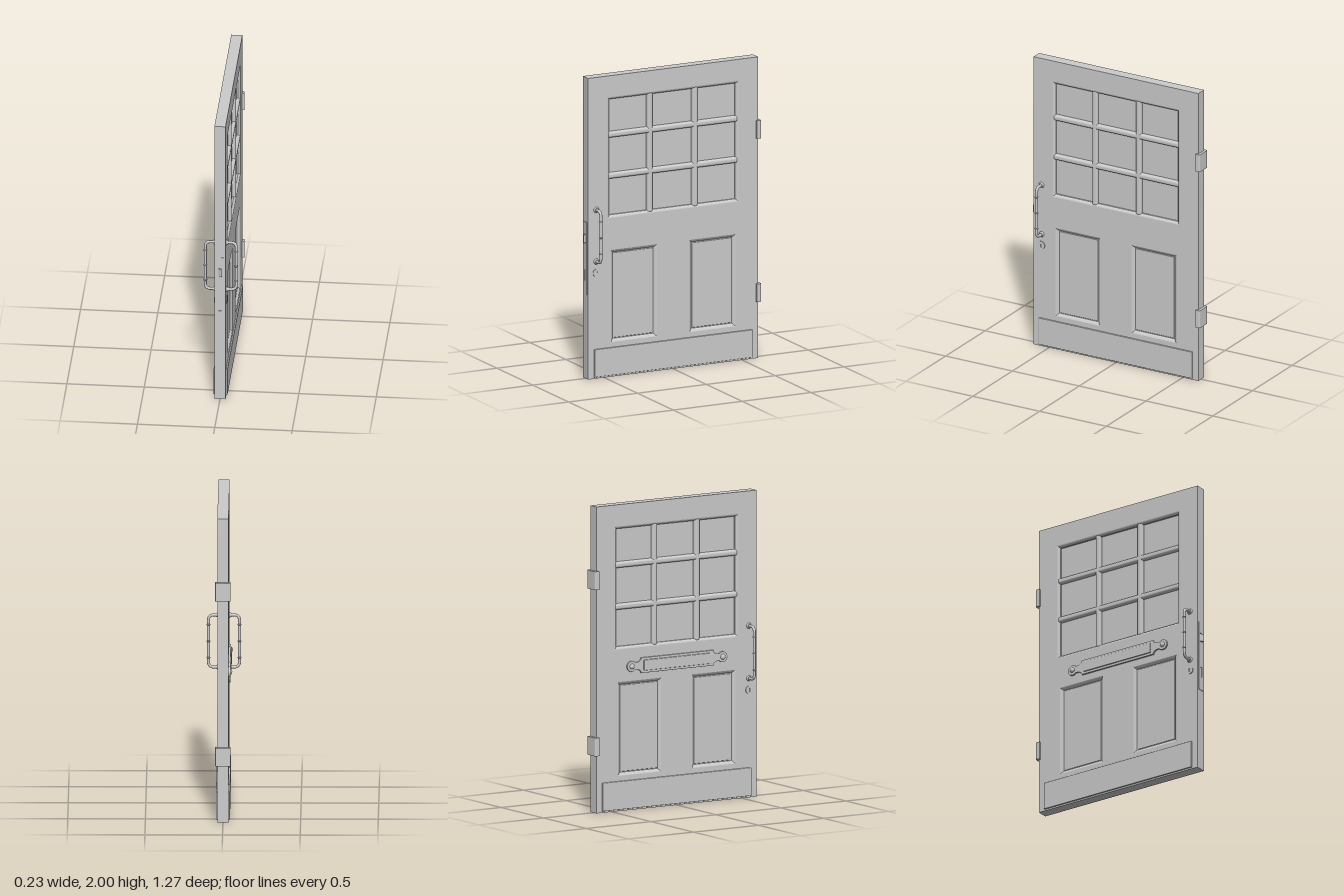
import * as THREE from 'three';
import { RoundedBoxGeometry } from 'three/addons/geometries/RoundedBoxGeometry.js';

const HALF_T = 0.036, HALF_W = 0.617;
const WINDOW = [-0.475, 0.475, 1.055, 1.858];
const PANELS = [[0.118, 0.452, 0.23, 0.842], [-0.452, -0.118, 0.23, 0.842]];
const material = new THREE.MeshStandardMaterial({ color: 0xcccccc });

function add(parent, name, geometry, x = 0, y = 0, z = 0) {
  const mesh = new THREE.Mesh(geometry, material);
  mesh.name = name;
  mesh.position.set(x, y, z);
  parent.add(mesh);
  return mesh;
}

function rectPath([a0, a1, b0, b1], Type = THREE.Path) {
  return new Type([[a0, b0], [a1, b0], [a1, b1], [a0, b1]].map(p => new THREE.Vector2(...p)));
}

const extrude = (shape, depth, options = {}) =>
  new THREE.ExtrudeGeometry(shape, { depth, bevelEnabled: false, curveSegments: 12, ...options });

// Sunken rectangle facing +x: profile is a list of [inset, x], closed by a flat field
function recess([z0, z1, y0, y1], profile) {
  const loops = profile.map(([i, x]) => [
    [x, y0 + i, z1 - i], [x, y0 + i, z0 + i], [x, y1 - i, z0 + i], [x, y1 - i, z1 - i]]);
  const pos = [];
  const quad = (a, b, c, d) => pos.push(...a, ...b, ...c, ...a, ...c, ...d);
  for (let k = 0; k + 1 < loops.length; k++) {
    for (let i = 0; i < 4; i++) {
      const j = (i + 1) % 4;
      quad(loops[k][i], loops[k][j], loops[k + 1][j], loops[k + 1][i]);
    }
  }
  quad(...loops[loops.length - 1]);
  const g = new THREE.BufferGeometry();
  g.setAttribute('position', new THREE.Float32BufferAttribute(pos, 3));
  g.computeVertexNormals();
  return g;
}

function makeHandle() {
  const handle = new THREE.Group();
  handle.name = 'pullHandle';
  const y0 = 0.777, y1 = 1.12, out = 0.1, r = 0.035;
  const v = (x, y) => new THREE.Vector3(x, y, 0);
  const path = new THREE.CurvePath();
  path.add(new THREE.LineCurve3(v(HALF_T, y0), v(out - r, y0)));
  path.add(new THREE.QuadraticBezierCurve3(v(out - r, y0), v(out, y0), v(out, y0 + r)));
  path.add(new THREE.LineCurve3(v(out, y0 + r), v(out, y1 - r)));
  path.add(new THREE.QuadraticBezierCurve3(v(out, y1 - r), v(out, y1), v(out - r, y1)));
  path.add(new THREE.LineCurve3(v(out - r, y1), v(HALF_T, y1)));
  add(handle, 'handleBar', new THREE.TubeGeometry(path, 64, 0.0095, 12));
  // Decorative collars on the grip
  for (const y of [0.84, 0.9485, 1.057]) {
    add(handle, 'handleCollar', new THREE.TorusGeometry(0.009, 0.004, 8, 16).rotateX(Math.PI / 2), out, y, 0);
  }
  // Round mounting flanges
  for (const y of [y0, y1]) {
    add(handle, 'handleFlange',
      new THREE.CylinderGeometry(0.013, 0.02, 0.012, 20).rotateZ(-Math.PI / 2), HALF_T + 0.005, y, 0);
  }
  handle.position.z = 0.557;
  return handle;
}

function makeEscutcheon(parent, x) {
  const disc = new THREE.Shape().absarc(0, 0, 0.026, 0, Math.PI * 2);
  const key = new THREE.Path();
  key.moveTo(-0.003, -0.014);
  key.lineTo(0.003, -0.014);
  key.lineTo(0.003, 0.002);
  key.absarc(0, 0.006, 0.006, -0.8, Math.PI + 0.8, false);
  key.closePath();
  disc.holes.push(key);
  add(parent, 'keyholePlate', extrude(disc, 0.006).rotateY(Math.PI / 2).translate(-0.003, 0, 0), x, 0.702, 0.557);
}

// Everything on one broad face, built towards +x
function makeFace() {
  const face = new THREE.Group();
  add(face, 'windowRecess', recess(WINDOW,
    [[0, HALF_T], [0.006, 0.034], [0.012, 0.029], [0.017, 0.022], [0.017, 0.012]]));
  for (const p of PANELS) {
    add(face, 'lowerPanel', recess(p,
      [[0, HALF_T], [0.004, 0.034], [0.012, 0.029], [0.019, 0.02], [0.023, 0.02], [0.025, 0.022]]));
  }
  add(face, 'kickPlate', new RoundedBoxGeometry(0.014, 0.185, 1.148, 2, 0.003), HALF_T + 0.002, 0.1025, 0);
  return face;
}

function makeLetterPlate() {
  const plate = new THREE.Group();
  plate.name = 'letterPlate';
  // Backplate with scooped corners and round lobes
  const s = new THREE.Shape();
  s.moveTo(-0.275, -0.048);
  s.lineTo(0.275, -0.048);
  s.quadraticCurveTo(0.283, -0.02, 0.322, -0.021);
  s.absarc(0.35, 0, 0.033, -2.4, 2.4, false);
  s.quadraticCurveTo(0.283, 0.02, 0.275, 0.048);
  s.lineTo(-0.275, 0.048);
  s.quadraticCurveTo(-0.283, 0.02, -0.322, 0.021);
  s.absarc(-0.35, 0, 0.033, Math.PI - 2.4, Math.PI + 2.4, false);
  s.quadraticCurveTo(-0.283, -0.02, -0.275, -0.048);
  add(plate, 'letterBackplate', extrude(s, 0.008,
    { bevelEnabled: true, bevelThickness: 0.003, bevelSize: 0.002, bevelSegments: 2 }).rotateY(Math.PI / 2), HALF_T, 0, 0);
  add(plate, 'letterFlap', new RoundedBoxGeometry(0.012, 0.07, 0.52, 3, 0.004), HALF_T + 0.011, 0, 0);
  for (const z of [-0.35, 0.35]) {
    add(plate, 'letterKnob', new THREE.SphereGeometry(0.018, 20, 12).scale(0.7, 1, 1), HALF_T + 0.01, 0, z);
  }
  plate.position.y = 0.937;
  plate.rotation.y = Math.PI;
  return plate;
}

export function createModel() {
  const door = new THREE.Group();
  door.name = 'door';

  // Slab with cut-outs for the window and the lower panels
  const slab = rectPath([-HALF_W, HALF_W, 0, 2], THREE.Shape);
  for (const r of [WINDOW, ...PANELS]) slab.holes.push(rectPath(r));
  add(door, 'slab', extrude(slab, HALF_T * 2).translate(0, 0, -HALF_T).rotateY(Math.PI / 2));

  // Both faces
  for (const [name, turn] of [['leftFace', 0], ['rightFace', Math.PI]]) {
    const face = makeFace();
    face.name = name;
    face.rotation.y = turn;
    door.add(face);
  }

  // Rounded glazing bars shared by both sides
  const [z0, z1, y0, y1] = WINDOW;
  for (const z of [-0.163, 0.163]) {
    add(door, 'verticalBar', new RoundedBoxGeometry(0.07, y1 - y0, 0.04, 4, 0.016), 0, (y0 + y1) / 2, z);
  }
  for (const y of [1.332, 1.605]) {
    add(door, 'horizontalBar', new RoundedBoxGeometry(0.07, 0.04, z1 - z0, 4, 0.016), 0, y, 0);
  }

  // Handles and keyholes on both sides
  for (const side of [1, -1]) {
    const handle = makeHandle();
    if (side < 0) handle.rotation.y = Math.PI;
    door.add(handle);
    makeEscutcheon(door, side * (HALF_T + 0.002));
  }
  door.add(makeLetterPlate());

  // Lock faceplate on the closing edge, with latch and bolt openings
  const strip = rectPath([-0.024, 0.024, 0.56, 1.04], THREE.Shape);
  strip.holes.push(rectPath([-0.012, 0.012, 0.9, 0.962]), rectPath([-0.009, 0.009, 0.65, 0.722]));
  add(door, 'lockFaceplate', extrude(strip, 0.004), 0, 0, HALF_W);
  const wedge = new THREE.Shape([[-0.011, 0], [0.011, 0], [0.011, -0.019], [-0.011, -0.004]]
    .map(p => new THREE.Vector2(...p)));
  add(door, 'latch', extrude(wedge, 0.052).rotateX(-Math.PI / 2), 0, 0.905, HALF_W);

  // Hinges wrapping the hanging edge, with rounded outer corners
  const h = new THREE.Shape();
  h.moveTo(-0.05, -0.603);
  h.lineTo(-0.05, -0.625);
  h.quadraticCurveTo(-0.05, -0.635, -0.04, -0.635);
  h.lineTo(0.04, -0.635);
  h.quadraticCurveTo(0.05, -0.635, 0.05, -0.625);
  h.lineTo(0.05, -0.603);
  for (const y of [0.375, 1.46]) {
    add(door, 'hinge', extrude(h, 0.12).rotateX(Math.PI / 2), 0, y + 0.12, 0);
  }
  return door;
}
